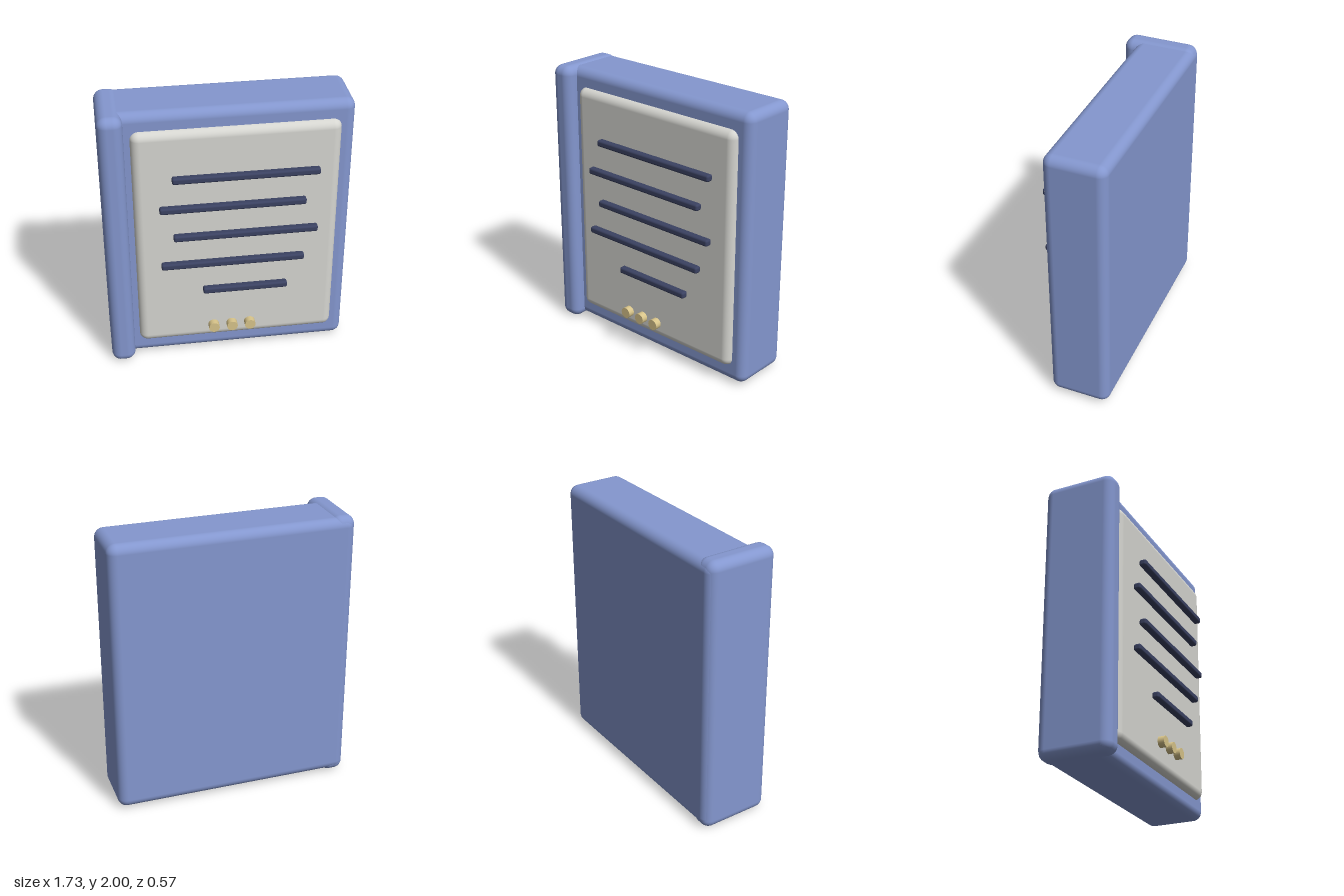
import * as THREE from 'three';
import { RoundedBoxGeometry } from 'three/addons/geometries/RoundedBoxGeometry.js';

const material = (color) => new THREE.MeshStandardMaterial({ color });

// Rounded box given by its extents on each axis
function roundedBox(name, [x0, x1], [y0, y1], [z0, z1], radius, mat) {
  const geometry = new RoundedBoxGeometry(x1 - x0, y1 - y0, z1 - z0, 5, radius);
  const mesh = new THREE.Mesh(geometry, mat);
  mesh.position.set((x0 + x1) / 2, (y0 + y1) / 2, (z0 + z1) / 2);
  mesh.name = name;
  return mesh;
}

export function createModel() {
  const model = new THREE.Group();
  model.name = 'book';
  const blue = material(0x8497cf);
  const paper = material(0xd6d6d1);
  const ink = material(0x3b4262);
  const gold = material(0xd8c48a);

  // Cover block with a raised spine along its right-hand edge
  model.add(roundedBox('cover', [-0.86, 0.86], [0.015, 1.99], [-0.285, 0.15], 0.065, blue));
  model.add(roundedBox('spine', [-0.865, -0.695], [0, 2], [-0.28, 0.235], 0.065, blue));

  // Page panel set into the front
  model.add(roundedBox('pagePanel', [-0.655, 0.765], [0.14, 1.865], [0.05, 0.197], 0.06, paper));

  // Text lines, staggered and floating just off the panel
  const lines = [
    [1.53, -0.393, 0.613],
    [1.3, -0.483, 0.525],
    [1.07, -0.393, 0.613],
    [0.84, -0.483, 0.525],
    [0.608, -0.193, 0.41],
  ];
  for (const [y, x0, x1] of lines) {
    model.add(roundedBox('textLine', [x0, x1], [y - 0.024, y + 0.024], [0.215, 0.267], 0.015, ink));
  }

  // Row of round studs below the lines
  for (const x of [-0.12, 0.012, 0.143]) {
    const stud = new THREE.Mesh(new THREE.CylinderGeometry(0.039, 0.039, 0.047, 24), gold);
    stud.rotation.x = Math.PI / 2;
    stud.position.set(x, 0.29, 0.263);
    stud.name = 'stud';
    model.add(stud);
  }
  return model;
}
